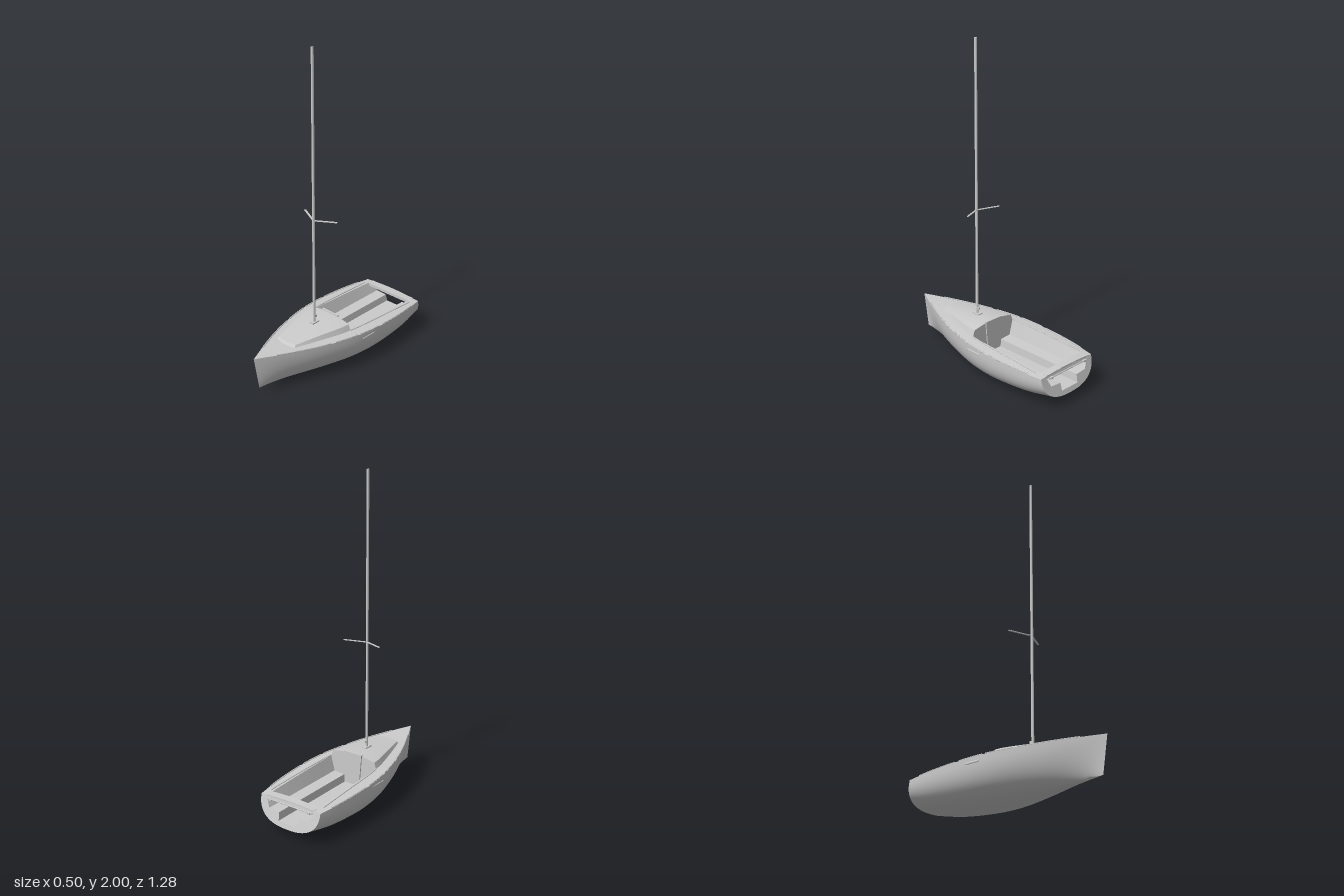
import * as THREE from 'three';
import { toCreasedNormals } from 'three/addons/utils/BufferGeometryUtils.js';

const material = new THREE.MeshStandardMaterial({ color: 0xcccccc, side: THREE.DoubleSide });
const V = (x, y, z) => new THREE.Vector3(x, y, z);

// smooth lookup through evenly spaced values, from stern (z = -0.6) to bow (z = 0.64)
function table(values) {
  const n = values.length - 1;
  const slope = i => i === 0 ? values[1] - values[0]
    : i === n ? values[n] - values[n - 1] : (values[i + 1] - values[i - 1]) / 2;
  return z => {
    const t = THREE.MathUtils.clamp((z + 0.6) / 1.24, 0, 1) * n;
    const i = Math.min(Math.floor(t), n - 1), f = t - i, f2 = f * f, f3 = f2 * f;
    return (2 * f3 - 3 * f2 + 1) * values[i] + (f3 - 2 * f2 + f) * slope(i)
      + (3 * f2 - 2 * f3) * values[i + 1] + (f3 - f2) * slope(i + 1);
  };
}
const beam = table([0.215, 0.238, 0.249, 0.249, 0.232, 0.195, 0.143, 0.076, 0]);
const sheer = table([0.21, 0.216, 0.222, 0.228, 0.235, 0.241, 0.248, 0.256, 0.264]);
const keel = table([0.06, 0.03, 0.012, 0.002, 0, 0.006, 0.017, 0.032, 0.05]);
const fullness = table([2.5, 2.6, 2.6, 2.6, 2.5, 2.3, 2.1, 1.8, 1.6]);
const RAKE = 0.036;

const deckY = (x, z) => {
  const b = beam(z);
  return sheer(z) + (b > 0.001 ? 0.24 * (b * b - x * x) : 0);
};
const transomZ = y => -0.6 - RAKE * Math.max(0, (0.21 - y) / 0.15);
const range = (a, b, n) => Array.from({ length: n + 1 }, (_, i) => a + (b - a) * i / n);

// surface through rows of points
function grid(rows, crease = 0.5) {
  const cols = rows[0].length, index = [];
  for (let i = 0; i < rows.length - 1; i++) {
    for (let j = 0; j < cols - 1; j++) {
      const a = i * cols + j, b = a + cols;
      index.push(a, b, a + 1, b, b + 1, a + 1);
    }
  }
  const geometry = new THREE.BufferGeometry().setFromPoints(rows.flat());
  geometry.setIndex(index);
  return toCreasedNormals(geometry, crease);
}

// hull cross-section from right sheer, under the keel, to left sheer
function hullSection(z) {
  const b = beam(z), top = sheer(z), depth = top - keel(z), p = 2 / fullness(z);
  return range(-Math.PI / 2, Math.PI / 2, 36).map(a => {
    const s = Math.sin(a), drop = Math.pow(Math.max(0, Math.cos(a)), p);
    return V(b * Math.sign(s) * Math.pow(Math.abs(s), p), top - depth * drop, z - RAKE * drop);
  });
}

// cockpit cross-section: seat back, seat, riser and sole
function cockpitSection(z, topY) {
  const half = [[0.17, topY], [0.145, 0.145], [0.07, 0.14], [0.066, 0.092]];
  const pts = half.map(([x, y]) => [-x, y]).concat(half.slice().reverse());
  return pts.map(([x, y]) => V(x, y, z));
}

// cabin cross-section: base, side edge and crowned roof
function cabinSection(z, base, top, roofY) {
  const row = [V(-base, deckY(base, z) - 0.004, z)];
  for (const t of range(-1, 1, 12)) {
    const bulge = z > 0.36 ? 0.015 * (1 - t * t) : 0;
    row.push(V(top * t, roofY - 0.8 * top * top * t * t, z + bulge));
  }
  row.push(V(base, deckY(base, z) - 0.004, z));
  return row;
}

export function createModel() {
  const model = new THREE.Group();
  model.name = 'sailboat';
  const add = (name, geometry, x = 0, y = 0, z = 0) => {
    const mesh = new THREE.Mesh(geometry, material);
    mesh.name = name;
    mesh.position.set(x, y, z);
    model.add(mesh);
    return mesh;
  };
  const box = (name, w, h, d, x, y, z) => add(name, new THREE.BoxGeometry(w, h, d), x, y, z);

  // hull shell
  add('hull', grid(range(-0.6, 0.64, 48).map(z => hullSection(z).reverse()), 0.8));

  // deck: full width aft and forward, side decks beside the cockpit
  const deckRow = (z, from, to) => range(from, to, 10).map(x => V(x, deckY(x, z), z));
  add('aftDeck', grid(range(-0.6, -0.555, 2).map(z => deckRow(z, -beam(z), beam(z)))));
  add('foreDeck', grid(range(0, 0.64, 24).map(z => deckRow(z, -beam(z), beam(z)))));
  add('leftSideDeck', grid(range(-0.555, 0, 20).map(z => deckRow(z, 0.17, beam(z)))));
  add('rightSideDeck', grid(range(-0.555, 0, 20).map(z => deckRow(z, -beam(z), -0.17))));
  box('aftDeckBeam', 0.34, 0.02, 0.045, 0, 0.206, -0.578);

  // open cockpit running out through the transom
  const sternCockpit = cockpitSection(0, 0.197);
  const cockpitRows = range(-0.555, 0, 10).map(z => cockpitSection(z, deckY(0.17, z)));
  add('cockpit', grid([sternCockpit.map(p => V(p.x, p.y, transomZ(p.y))), ...cockpitRows], 0.2));

  // raked transom with the cockpit opening cut out
  const flat = p => new THREE.Vector2(p.x, p.y);
  const transomShape = new THREE.Shape([
    ...hullSection(-0.6).map(flat),
    ...deckRow(-0.6, -beam(-0.6), beam(-0.6)).reverse().slice(1, -1).map(flat)]);
  transomShape.holes.push(new THREE.Path(sternCockpit.map(flat)));
  const transom = new THREE.ShapeGeometry(transomShape);
  const tp = transom.attributes.position;
  for (let i = 0; i < tp.count; i++) tp.setZ(i, transomZ(tp.getY(i)));
  transom.computeVertexNormals();
  add('transom', transom);

  // cabin roof, sides and sloped front
  const stations = [[0, 0.17, 0.155, 0.297], [0.05, 0.164, 0.15, 0.296], [0.1, 0.153, 0.14, 0.293],
    [0.2, 0.127, 0.115, 0.285], [0.3, 0.1, 0.089, 0.276], [0.37, 0.079, 0.07, 0.269]];
  const cabinRows = stations.map(s => cabinSection(...s));
  const front = cabinRows.at(-1).map(p => {
    const x = p.x * 1.06, z = p.z + 0.014;
    return V(x, deckY(x, z) - 0.004, z);
  });
  add('cabin', grid([...cabinRows, front], 0.3));

  // bulkhead closing the cabin towards the cockpit
  add('cabinBulkhead', new THREE.ShapeGeometry(new THREE.Shape([
    ...cabinRows[0].map(flat), ...cockpitSection(0, deckY(0.17, 0)).reverse().map(flat)])));

  // tapered companionway board
  const board = new THREE.Shape([[-0.05, 0.13], [0.05, 0.13], [0.065, 0.303], [-0.065, 0.303]]
    .map(([x, y]) => new THREE.Vector2(x, y)));
  add('companionwayBoard',
    new THREE.ExtrudeGeometry(board, { depth: 0.012, bevelEnabled: false }), 0, 0, -0.008);

  // mast with step and fitting
  const mast = add('mast', new THREE.CylinderGeometry(0.0075, 0.0075, 1.705, 16), 0, 1.1475, 0.14);
  mast.scale.z = 1.2;
  box('mastStep', 0.032, 0.008, 0.055, 0, 0.294, 0.138);
  box('mastFitting', 0.008, 0.014, 0.014, 0, 0.33, 0.127);

  // rail following the deck at a given half-width
  const rail = (name, side, from, to, halfWidth, radius) => {
    const pts = range(from, to, 8).map(z => {
      const x = halfWidth(z);
      return V(side * x, deckY(x, z) + 0.002, z);
    });
    add(name, new THREE.TubeGeometry(new THREE.CatmullRomCurve3(pts), 16, radius, 6));
  };

  for (const side of [1, -1]) {
    const label = side > 0 ? 'left' : 'right';

    // swept-back spreader
    const root = V(0, 0.972, 0.14), tip = V(side * 0.13, 0.98, 0.078);
    const spreader = box(label + 'Spreader', 0.011, 0.004, root.distanceTo(tip), 0, 0, 0);
    spreader.position.copy(root).lerp(tip, 0.5);
    spreader.lookAt(tip);

    // toe rail in four lengths, and the cockpit coaming
    for (const [a, b] of [[-0.51, -0.21], [-0.18, -0.02], [0, 0.16], [0.19, 0.51]]) {
      rail(label + 'ToeRail', side, a, b, z => beam(z) - 0.004, 0.004);
    }
    rail(label + 'Coaming', side, -0.54, 0,
      z => 0.17 + 0.02 * Math.sqrt(Math.max(0, -z / 0.54)), 0.004);

    // slim capsule plate on the topside
    const plate = new THREE.CapsuleGeometry(0.006, 0.095, 4, 10);
    plate.rotateX(Math.PI / 2);
    plate.scale(0.5, 1, 1);
    add(label + 'TopsidePlate', plate, side * 0.247, 0.2, -0.085);

    // blocks on the stern traveller
    box(label + 'TravellerBlock', 0.02, 0.012, 0.012, side * 0.14, 0.198, -0.612);
  }

  // stern traveller bar
  const bar = new THREE.CylinderGeometry(0.004, 0.004, 0.33, 8);
  bar.rotateZ(Math.PI / 2);
  add('travellerBar', bar, 0, 0.2, -0.612);

  return model;
}
